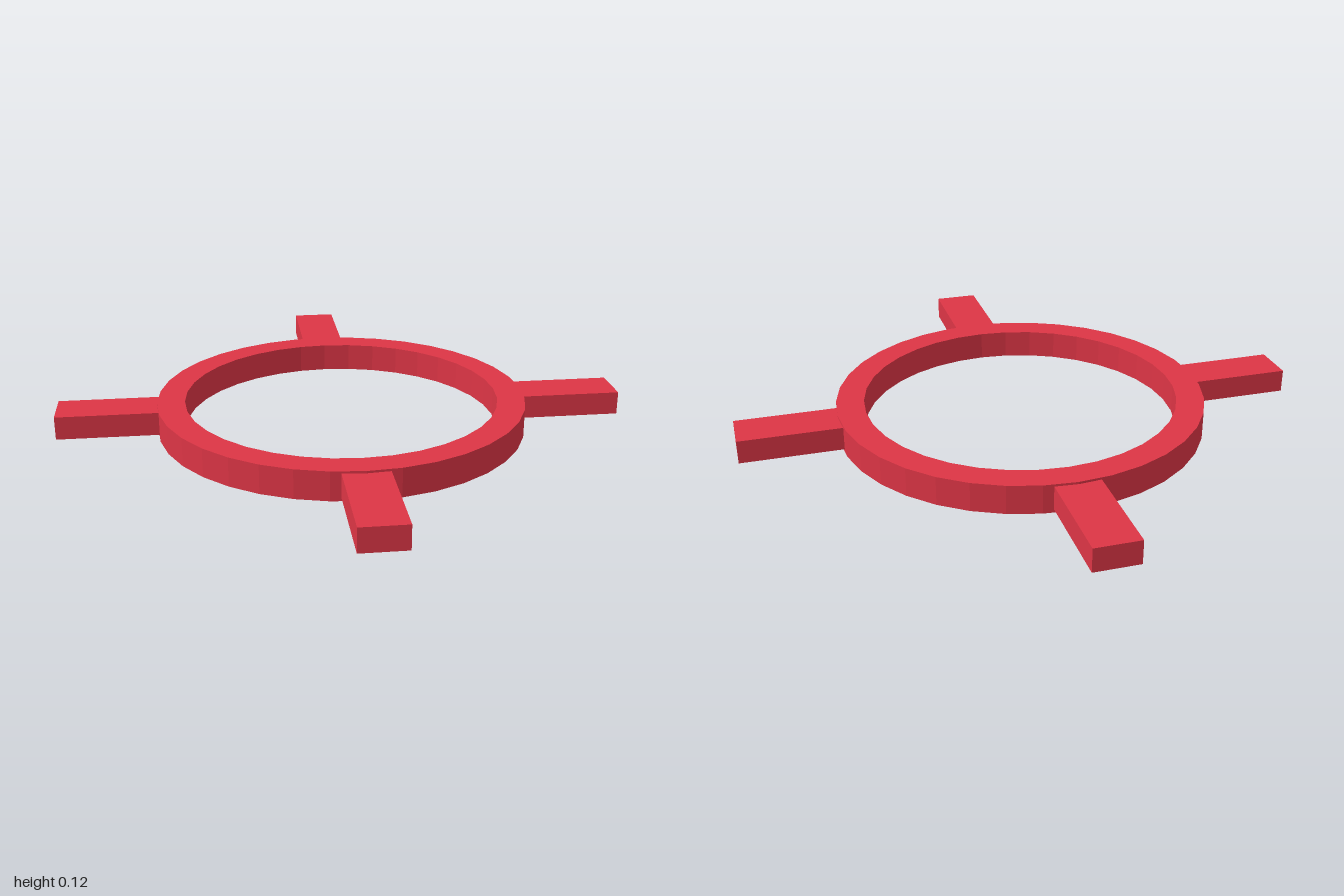
import * as THREE from 'three';

const SIDES = 36, OUTER = 0.747, INNER = 0.635, HEIGHT = 0.116;
const SPOKE = { start: 0.68, end: 1.145, width: 0.178, height: 0.094 };

function polygon(radius) {
  return Array.from({ length: SIDES }, (_, i) => {
    const a = (i / SIDES) * Math.PI * 2;
    return new THREE.Vector2(radius * Math.cos(a), radius * Math.sin(a));
  });
}

export function createModel() {
  const model = new THREE.Group();
  model.name = 'spokedRing';
  const material = new THREE.MeshStandardMaterial({ color: 0xdc3545, flatShading: true });

  // Ring: faceted band of square section
  const shape = new THREE.Shape(polygon(OUTER));
  shape.holes.push(new THREE.Path(polygon(INNER)));
  const ringGeometry = new THREE.ExtrudeGeometry(shape, { depth: HEIGHT, bevelEnabled: false });
  ringGeometry.rotateX(-Math.PI / 2);
  const ring = new THREE.Mesh(ringGeometry, material);
  ring.name = 'ring';
  model.add(ring);

  // Four outward spokes, slightly thinner than the ring
  const length = SPOKE.end - SPOKE.start;
  const spokeGeometry = new THREE.BoxGeometry(length, SPOKE.height, SPOKE.width);
  spokeGeometry.translate(SPOKE.start + length / 2, HEIGHT / 2 + 0.002, 0);
  for (let i = 0; i < 4; i++) {
    const spoke = new THREE.Mesh(spokeGeometry, material);
    spoke.name = `spoke${i + 1}`;
    spoke.rotation.y = (i * Math.PI) / 2;
    model.add(spoke);
  }

  // Whole piece is turned about the vertical axis
  model.rotation.y = -THREE.MathUtils.degToRad(34);
  return model;
}
